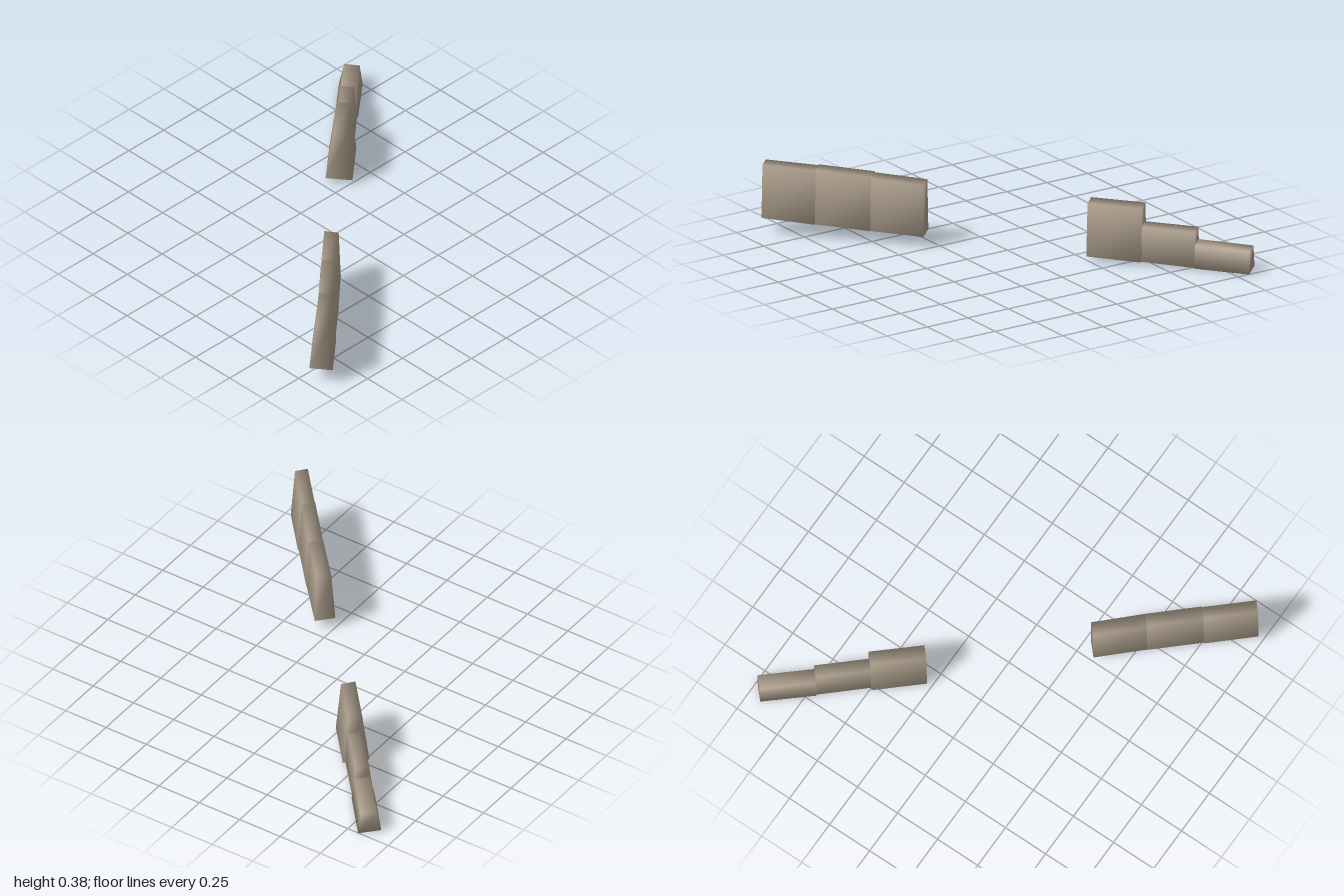
import * as THREE from 'three';
import { mergeVertices } from 'three/addons/utils/BufferGeometryUtils.js';

const stone = new THREE.MeshStandardMaterial({ color: 0xb0a290 });
stone.name = 'warm grey stone';

// Directions along and across both walls
const along = new THREE.Vector3(0.67, 0, 0.742).normalize();
const across = new THREE.Vector3(along.z, 0, -along.x);
const ROLL = 0.004; // one side of each block sits slightly lower
const LEAN = 0.005; // tops lean slightly to that side

// A tapered block with soft normals, running from point a to point b.
// y0 / y1 are [bottom, top] heights at each end; halfBase / halfTop are half widths.
function block(name, a, b, y0, y1, halfBase, halfTop) {
  let geo = new THREE.BoxGeometry(1, 1, 1);
  geo.deleteAttribute('normal');
  geo.deleteAttribute('uv');
  geo = mergeVertices(geo);
  const p = geo.attributes.position;
  for (let i = 0; i < p.count; i++) {
    const side = Math.sign(p.getX(i));
    const top = p.getY(i) > 0;
    const end = p.getZ(i) > 0;
    const [cx, cz] = end ? b : a;
    const w = top ? side * halfTop + LEAN : side * halfBase;
    const y = (end ? y1 : y0)[top ? 1 : 0] - side * ROLL;
    p.setXYZ(i, cx + across.x * w, y, cz + across.z * w);
  }
  geo.computeVertexNormals();
  const mesh = new THREE.Mesh(geo, stone);
  mesh.name = name;
  return mesh;
}

export function createModel() {
  const model = new THREE.Group();
  model.name = 'brokenWall';

  // Stepped wall, rising towards the gap
  const stepped = new THREE.Group();
  stepped.name = 'steppedWall';
  stepped.add(
    block('lowBlock', [-0.86, -0.9625], [-0.67, -0.7425], [0.005, 0.123], [0.011, 0.131], 0.06, 0.04),
    block('middleBlock', [-0.67, -0.7425], [-0.4825, -0.5325], [0.012, 0.2], [0.022, 0.205], 0.055, 0.035),
    block('tallBlock', [-0.4825, -0.5325], [-0.2925, -0.3175], [0.022, 0.306], [0.03, 0.31], 0.069, 0.037)
  );

  // Even wall on the other side of the gap
  const even = new THREE.Group();
  even.name = 'evenWall';
  even.add(
    block('innerBlock', [0.29, 0.318], [0.48, 0.522], [0.058, 0.336], [0.069, 0.352], 0.053, 0.037),
    block('centreBlock', [0.48, 0.522], [0.675, 0.74], [0.069, 0.358], [0.08, 0.37], 0.055, 0.035),
    block('outerBlock', [0.675, 0.74], [0.8625, 0.95], [0.08, 0.366], [0.093, 0.373], 0.06, 0.033)
  );

  model.add(stepped, even);
  return model;
}
